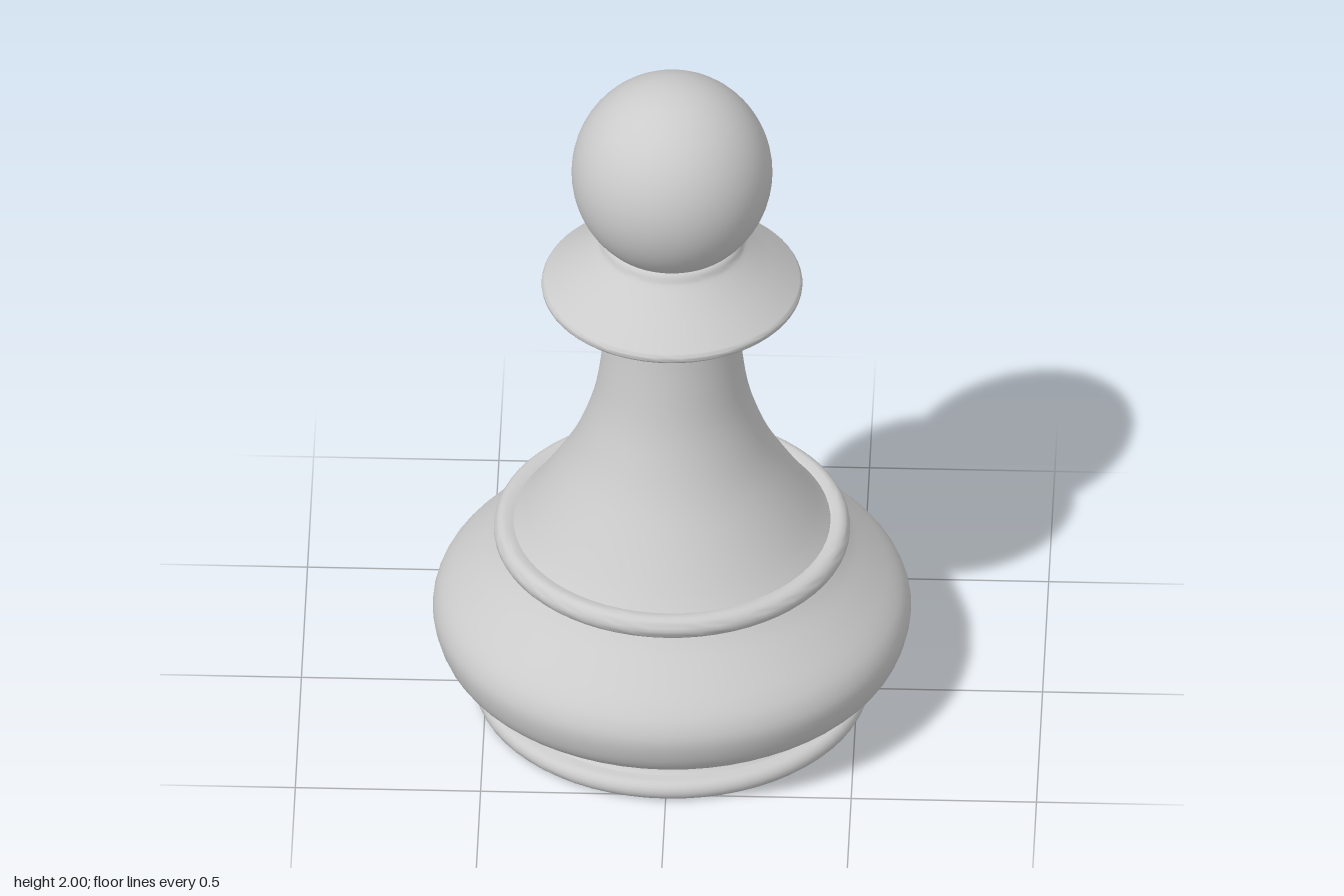
import * as THREE from 'three';
import { toCreasedNormals } from 'three/addons/utils/BufferGeometryUtils.js';

const SEGMENTS = 64;
const material = new THREE.MeshStandardMaterial({ color: 0xcccccc });
const v = ([r, y]) => new THREE.Vector2(r, y);

// Smooth curve through a few [radius, height] points
const curve = (points, steps) => new THREE.SplineCurve(points.map(v)).getPoints(steps);

// Rounded edge: elliptical arc from angle a0 to a1 (degrees)
function arc(r, y, rx, ry, a0, a1, steps) {
  return Array.from({ length: steps + 1 }, (_, i) => {
    const a = THREE.MathUtils.degToRad(a0 + (a1 - a0) * i / steps);
    return new THREE.Vector2(r + rx * Math.cos(a), y + ry * Math.sin(a));
  });
}

// Turned part; profile runs from bottom to top
function turned(name, profile) {
  const geometry = toCreasedNormals(new THREE.LatheGeometry(profile, SEGMENTS), 0.7);
  const mesh = new THREE.Mesh(geometry, material);
  mesh.name = name;
  return mesh;
}

export function createModel() {
  const group = new THREE.Group();
  group.name = 'pawn';

  // Foot disc with a rounded rim and closed underside
  group.add(turned('foot', [
    v([0, 0]), ...arc(0.508, 0.028, 0.027, 0.028, -90, 90, 10), v([0.46, 0.057]),
  ]));

  // Recessed waist, flaring slightly at both ends
  group.add(turned('waist', curve([
    [0.49, 0.055], [0.475, 0.07], [0.472, 0.09], [0.48, 0.112], [0.5, 0.129],
  ], 12)));

  // Wide bulging base
  group.add(turned('bulge', [v([0.48, 0.129]), ...curve([
    [0.535, 0.13], [0.585, 0.148], [0.625, 0.19], [0.645, 0.262],
    [0.635, 0.315], [0.605, 0.36], [0.55, 0.416], [0.495, 0.471], [0.468, 0.503],
  ], 28)]));

  // Bead above the bulge
  group.add(turned('bead', [
    v([0.44, 0.497]), ...arc(0.45, 0.53, 0.031, 0.033, -90, 90, 10),
    v([0.43, 0.556]), v([0.41, 0.55]),
  ]));

  // Concave stem
  group.add(turned('stem', curve([
    [0.432, 0.55], [0.394, 0.6], [0.33, 0.7], [0.274, 0.8], [0.234, 0.9],
    [0.206, 1.0], [0.189, 1.12], [0.18, 1.23], [0.178, 1.345],
  ], 24)));

  // Conical collar with flat underside and thin rounded rim
  group.add(turned('collar', [
    v([0.1, 1.33]), ...arc(0.334, 1.348, 0.018, 0.018, -90, 55, 8),
    v([0.27, 1.415]), ...curve([[0.215, 1.468], [0.195, 1.489], [0.188, 1.508], [0.17, 1.52]], 8),
    v([0.1, 1.52]),
  ]));

  // Ball head
  const head = new THREE.Mesh(new THREE.SphereGeometry(0.271, SEGMENTS, 32), material);
  head.scale.y = 1.03;
  head.position.y = 2 - 0.271 * 1.03;
  head.name = 'head';
  group.add(head);

  return group;
}
